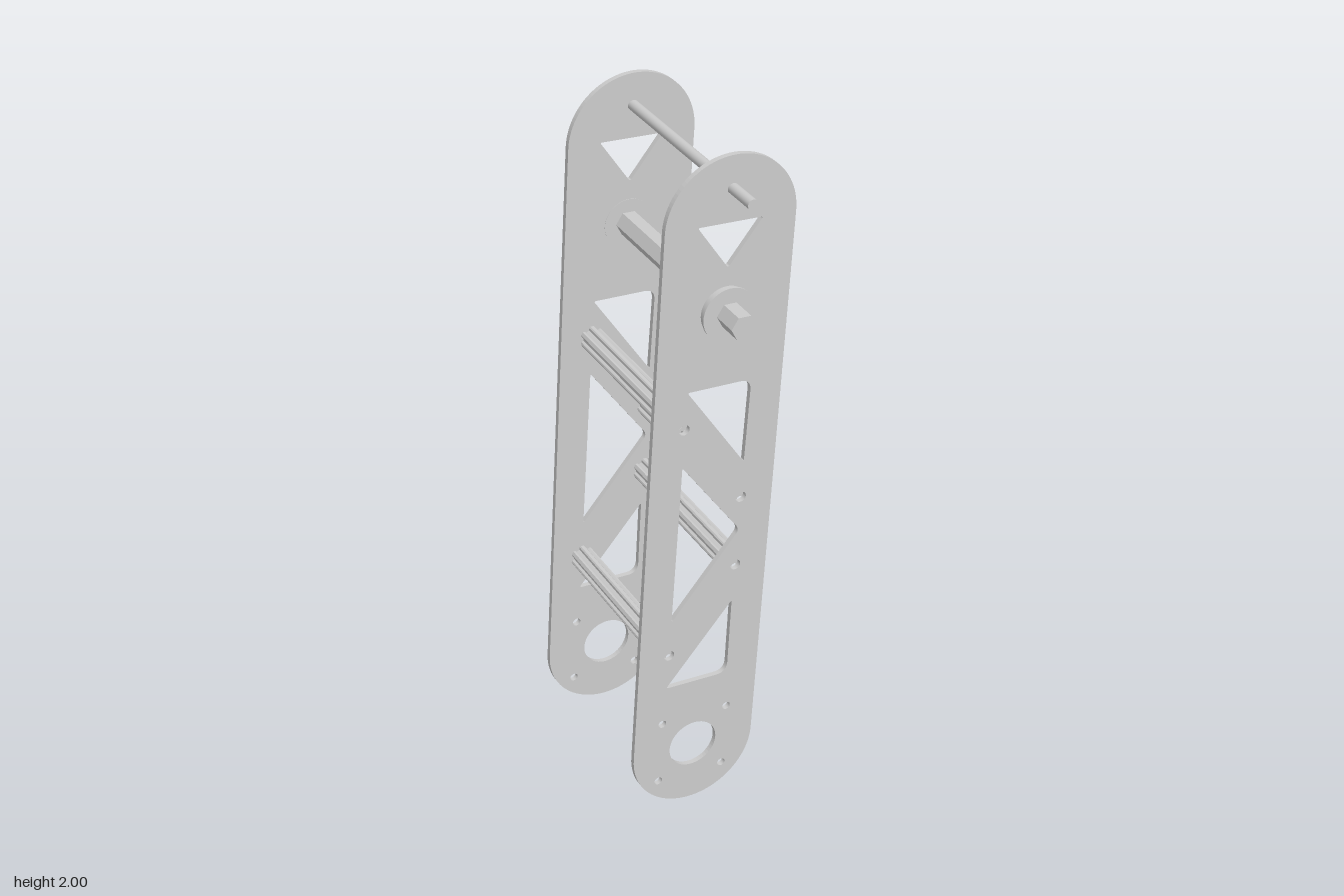
import * as THREE from 'three';

const material = new THREE.MeshStandardMaterial({ color: 0xcccccc, side: THREE.DoubleSide });

function circlePath(x, y, r) {
  return new THREE.Path().absarc(x, y, r, 0, Math.PI * 2, true);
}

// Closed polygon whose corners are rounded; each corner is [x, y, cut length]
function roundedPolygon(corners) {
  const path = new THREE.Path();
  const n = corners.length;
  corners.forEach(([x, y, cut = 0.008], i) => {
    const toward = ([px, py]) => {
      const d = Math.hypot(px - x, py - y);
      return [x + (px - x) * cut / d, y + (py - y) * cut / d];
    };
    const a = toward(corners[(i + n - 1) % n]);
    const b = toward(corners[(i + 1) % n]);
    if (i === 0) path.moveTo(...a); else path.lineTo(...a);
    path.quadraticCurveTo(x, y, ...b);
  });
  path.closePath();
  return path;
}

// Extrudes a shape between two z positions
function extrude(name, shape, z0, z1, curveSegments = 24) {
  const geometry = new THREE.ExtrudeGeometry(shape, { depth: z1 - z0, bevelEnabled: false, curveSegments });
  geometry.translate(0, 0, z0);
  const mesh = new THREE.Mesh(geometry, material);
  mesh.name = name;
  return mesh;
}

// Cylinder along z
function rod(name, x, y, r, z0, z1, sides = 40) {
  const mesh = new THREE.Mesh(new THREE.CylinderGeometry(r, r, z1 - z0, sides), material);
  mesh.rotation.x = Math.PI / 2;
  mesh.position.set(x, y, (z0 + z1) / 2);
  mesh.name = name;
  return mesh;
}

const lean = 0.0596;
const shaft = [0.033, 1.567];
const standoffs = [[-0.082, 1.242], [0.09, 0.98], [0.077, 0.763], [-0.125, 0.525]];

// Leaning side plate with lightening cutouts and bolt holes
function plateShape() {
  const s = new THREE.Shape();
  s.absarc(0.047, 1.813, 0.187, -lean, Math.PI - lean, false);
  s.absarc(-0.049, 0.187, 0.187, Math.PI - lean, Math.PI * 2 - lean, false);
  s.closePath();
  s.holes.push(
    roundedPolygon([[-0.047, 1.822], [0.139, 1.809], [0.04, 1.689]]),
    roundedPolygon([[-0.073, 1.352], [0.115, 1.341, 0.035], [0.097, 1.09]]),
    roundedPolygon([[-0.087, 1.126], [0.088, 0.876, 0.018], [-0.118, 0.636]]),
    roundedPolygon([[0.068, 0.647], [0.056, 0.404, 0.035], [-0.135, 0.415]]),
    circlePath(-0.05, 0.19, 0.073),
    circlePath(0.05, 1.908, 0.0145),
    ...[[-0.146, 0.294], [0.056, 0.284], [-0.159, 0.095], [0.042, 0.085]].map(([x, y]) => circlePath(x, y, 0.012)),
    ...standoffs.map(([x, y]) => circlePath(x, y, 0.0155))
  );
  return s;
}

// Six-lobed bored tube section
function flutedShape() {
  const s = new THREE.Shape();
  const lobe = [[-20, 0.025], [-15, 0.032], [-8, 0.035], [8, 0.035], [15, 0.032], [20, 0.025]];
  for (let k = 0; k < 6; k++) {
    lobe.forEach(([deg, r], i) => {
      const a = (deg + 90 + k * 60) * Math.PI / 180 - lean;
      s[k + i === 0 ? 'moveTo' : 'lineTo'](r * Math.cos(a), r * Math.sin(a));
    });
  }
  s.closePath();
  s.holes.push(circlePath(0, 0, 0.0155));
  return s;
}

export function createModel() {
  const group = new THREE.Group();

  // Side plates
  group.add(extrude('frontPlate', plateShape(), 0.26, 0.275));
  group.add(extrude('backPlate', plateShape(), -0.271, -0.256));

  // Fluted spacers between the plates
  standoffs.forEach(([x, y], i) => {
    const spacer = extrude('spacer' + (i + 1), flutedShape(), -0.255, 0.244, 12);
    spacer.position.set(x, y, 0);
    group.add(spacer);
  });

  // Hexagonal main shaft
  const hex = new THREE.Shape();
  for (let i = 0; i < 6; i++) {
    const a = i * Math.PI / 3 - lean;
    hex[i ? 'lineTo' : 'moveTo'](shaft[0] + 0.036 * Math.cos(a), shaft[1] + 0.036 * Math.sin(a));
  }
  hex.closePath();
  group.add(extrude('hexShaft', hex, -0.375, 0.373));

  // Flanged bearings
  const bearings = new THREE.Group();
  bearings.name = 'bearings';
  bearings.add(
    rod('frontBearingBody', ...shaft, 0.07, 0.262, 0.292),
    rod('frontBearingFlange', ...shaft, 0.075, 0.291, 0.298),
    rod('backBearingBody', ...shaft, 0.07, -0.304, -0.255),
    rod('backBearingFlange', ...shaft, 0.075, -0.309, -0.303)
  );
  group.add(bearings);

  // Thin upper cross rod
  group.add(rod('upperRod', 0.052, 1.908, 0.015, -0.376, 0.373, 24));

  return group;
}
